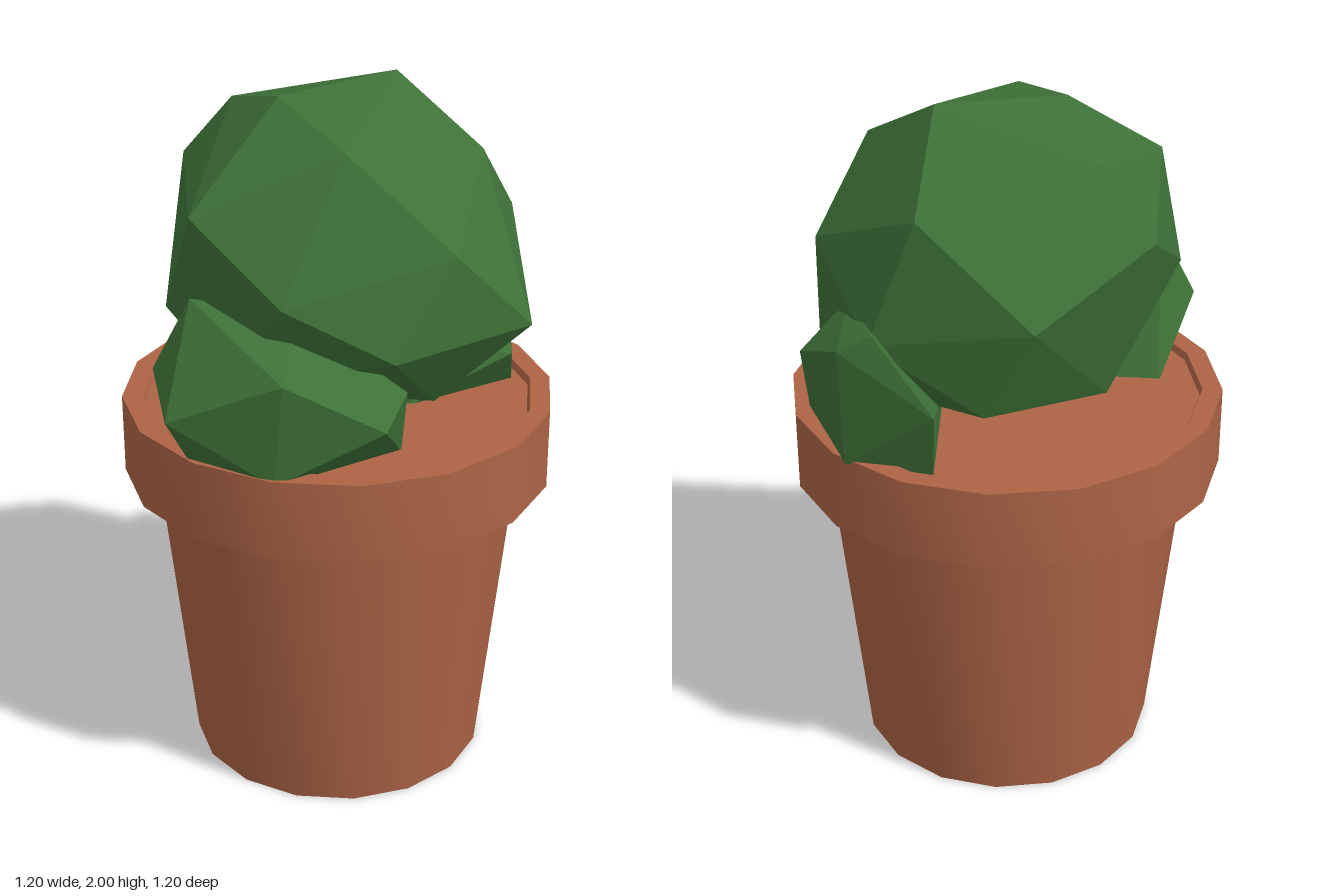
import * as THREE from 'three';
import { toCreasedNormals } from 'three/addons/utils/BufferGeometryUtils.js';
import { ConvexGeometry } from 'three/addons/geometries/ConvexGeometry.js';

const terracotta = new THREE.MeshStandardMaterial({ color: 0xad6446, side: THREE.DoubleSide });
terracotta.name = 'terracotta';
const leafGreen = new THREE.MeshStandardMaterial({ color: 0x3e7238 });
leafGreen.name = 'leaf green';

// Sixteen-sided turned part; a flat side faces the front
function turned(name, profile) {
  const points = profile.map(([r, y]) => new THREE.Vector2(r, y));
  const lathe = new THREE.LatheGeometry(points, 16, Math.PI / 16);
  const mesh = new THREE.Mesh(toCreasedNormals(lathe, 0.5), terracotta);
  mesh.name = name;
  return mesh;
}

// Faceted clump of leaves spanned by its corner points
function clump(name, corners) {
  const points = corners.map((c) => new THREE.Vector3(...c));
  const geometry = new ConvexGeometry(points);
  const mesh = new THREE.Mesh(geometry, leafGreen);
  mesh.name = name;
  return mesh;
}

export function createModel() {
  const model = new THREE.Group();
  model.name = 'pottedBush';

  // Pot: tapered wall open at the bottom, rim with a bevelled underside, soil surface
  model.add(turned('potWall', [[0.428, 0], [0.518, 0.865]]));
  model.add(turned('potRim', [[0.518, 0.865], [0.612, 0.89], [0.612, 1.12], [0.555, 1.12], [0.548, 1.1]]));
  model.add(turned('soil', [[0.548, 1.1], [0, 1.1]]));

  // Large round crown
  model.add(clump('crown', [
    [0.2, 2, -0.1], [-0.16, 1.98, -0.02], [-0.07, 1.91, 0.29], [-0.21, 1.9, -0.32],
    [0.36, 1.84, 0.15], [0.28, 1.8, -0.39], [-0.46, 1.74, 0.18], [-0.33, 1.72, -0.42],
    [0, 1.56, -0.58], [0.52, 1.61, -0.02], [0.18, 1.66, 0.46], [-0.28, 1.55, 0.41],
    [0.4, 1.44, 0.44], [0, 1.4, 0.5], [-0.5, 1.45, 0.05], [0.41, 1.45, -0.37],
    [0.52, 1.31, 0.02], [0.12, 1.29, -0.5], [-0.23, 1.25, -0.33], [-0.36, 1.27, 0.22],
    [0.17, 1.2, 0.33], [0.3, 1.2, -0.2], [-0.02, 1.1, 0],
  ]));

  // Small clump low at the front, towards the model's right
  model.add(clump('frontClump', [
    [-0.58, 1.25, 0.35], [-0.46, 1.51, 0.16], [-0.2, 1.48, 0.28], [-0.31, 1.39, 0.52],
    [-0.05, 1.25, 0.58], [0.04, 1.31, 0.48], [-0.56, 1.31, 0.13], [-0.33, 1.1, 0.5],
    [0.06, 1.09, 0.38], [-0.5, 1.09, 0.3], [-0.44, 1.09, 0], [-0.25, 0.98, 0.25],
    [0, 1.1, 0.1],
  ]));

  // Small clump low at the back, towards the model's left
  model.add(clump('backClump', [
    [0.58, 1.36, -0.2], [0.44, 1.48, -0.14], [0.4, 1.51, -0.43], [0.49, 1.46, -0.41],
    [0.25, 1.3, -0.51], [0.47, 1.22, 0.14], [0.56, 1.12, -0.07], [0.51, 1.1, 0.05],
    [0.48, 1.11, -0.38], [0.25, 1.09, -0.45], [0.16, 1.09, 0.13], [0.35, 0.98, -0.2],
    [0.3, 1.25, 0.1],
  ]));

  return model;
}
